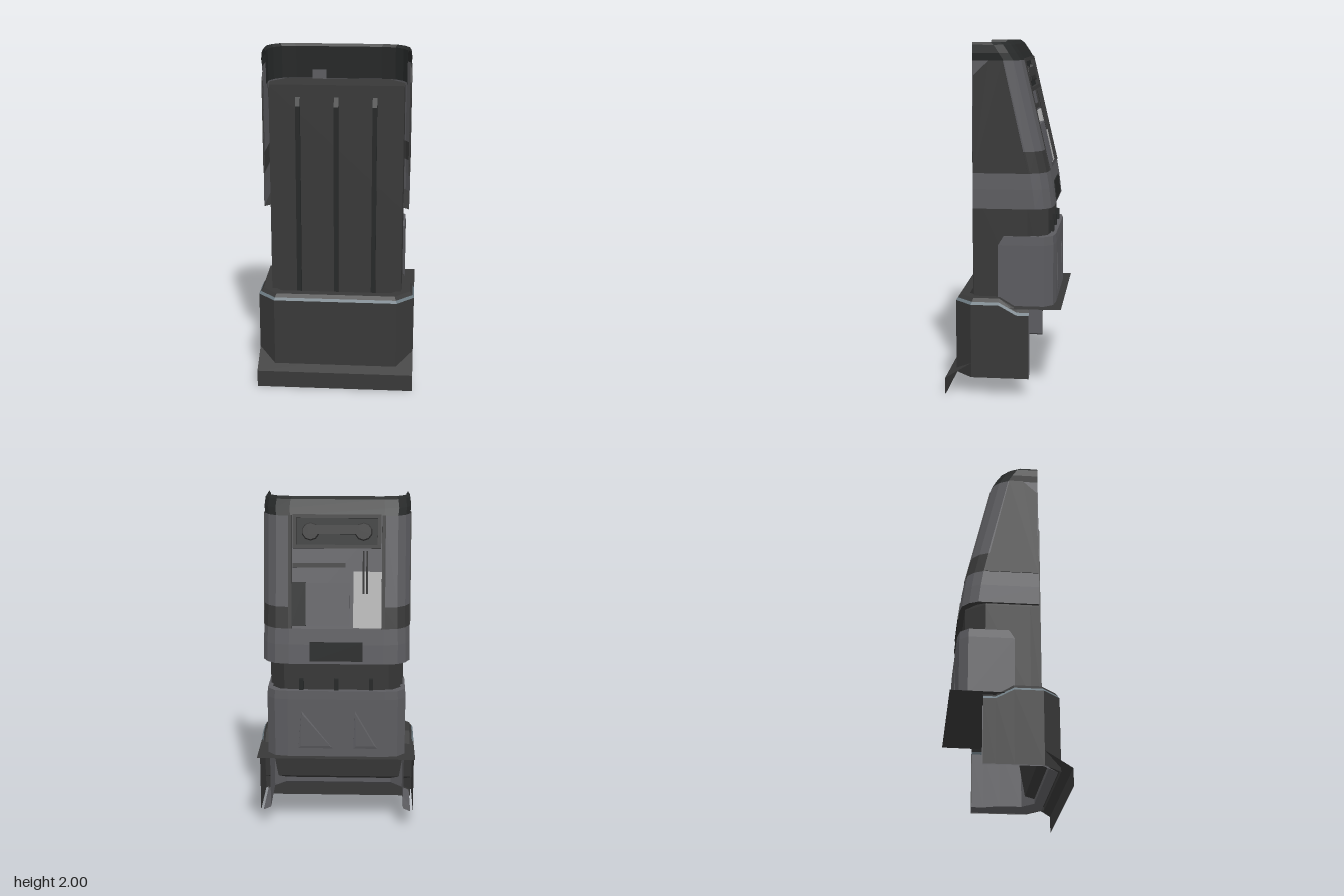
import * as THREE from 'three';

const mat = (color) => new THREE.MeshStandardMaterial({ color, side: THREE.DoubleSide, flatShading: true });
const DARK = mat(0x383838), BLACK = mat(0x262828), MID = mat(0x5c5c60), LIGHT = mat(0xb0b0b0), RIM = mat(0x6c7a82);

// Skin stretched over cross-sections, each a list of [x, y, z]
function loft(sections, closed = false, cap = false) {
  const n = sections[0].length, pos = sections.flat(2), idx = [];
  for (let s = 0; s < sections.length - 1; s++)
    for (let i = 0; i < (closed ? n : n - 1); i++) {
      const a = s * n + i, b = s * n + (i + 1) % n;
      idx.push(a, b, b + n, a, b + n, a + n);
    }
  const top = (sections.length - 1) * n;
  if (cap) for (let i = 1; i < n - 1; i++) idx.push(top, top + i, top + i + 1);
  const g = new THREE.BufferGeometry();
  g.setAttribute('position', new THREE.Float32BufferAttribute(pos, 3));
  g.setIndex(idx);
  const flat = g.toNonIndexed();
  flat.computeVertexNormals();
  return flat;
}

// Mirrors half an outline (+x side) into a whole one, running +x to -x
const both = (half) => [...half, ...half.map(([x, y, z]) => [-x, y, z]).reverse()];

// Half of the rounded U of the upper shell: side wall, corner, back
const corner = (y, w, zb) => [
  [w, y, 0.17], [w, y, zb + 0.1], [w - 0.025, y, zb + 0.05], [w - 0.07, y, zb + 0.012], [w - 0.15, y, zb],
];

export function createModel() {
  const model = new THREE.Group();
  const add = (name, geo, material, parent = model) => {
    const m = new THREE.Mesh(geo, material);
    m.name = name;
    parent.add(m);
    return m;
  };
  const box = (name, size, at, material, parent) => {
    const m = add(name, new THREE.BoxGeometry(...size), material, parent);
    m.position.set(...at);
    return m;
  };

  // Folded sheet: front flap, slope, steep riser and level back shelf
  const edge = (y, z) => [[-0.46, y, z], [0.46, y, z]];
  add('foldedSheet', loft([
    edge(0, 0.33), edge(0.1, 0.33), edge(0.2, 0.17), edge(0.4, 0.14), edge(0.515, 0.1), edge(0.52, -0.33),
  ]), DARK);

  // Base collar, open at the back, with its rim stepping down behind
  const ring = (d, yFront, yBack) => both([
    [0.46 - d, yBack, -0.15], [0.46 - d, yBack, -0.08], [0.46 - d, yFront, 0.02],
    [0.46 - d, yFront, 0.18 - d * 0.5], [0.36 - d * 0.5, yFront, 0.28 - d],
  ]);
  add('baseCollar', loft([ring(0, 0.11, 0.11), ring(0, 0.535, 0.48)]), DARK);
  add('collarRim', loft([ring(0, 0.535, 0.48), ring(0.01, 0.55, 0.495)]), RIM);
  add('collarTop', loft([ring(0.01, 0.55, 0.495), ring(0.025, 0.57, 0.51), ring(0.075, 0.57, 0.51)]), DARK);
  add('collarLining', loft([ring(0.06, 0.5, 0.46), ring(0.06, 0.14, 0.13), ring(0.015, 0.11, 0.11)]), MID);

  // Main body, thinner towards the top
  const body = (y, zb) => both([
    [0.3, y, zb], [0.385, y, zb + 0.11], [0.385, y, 0.12], [0.382, y, 0.175],
  ]);
  add('body', loft([body(0.525, -0.245), body(1.08, -0.245), body(1.8, -0.02)], true, true), DARK);

  // Front ribs with sloped tops, and lugs on the back
  const ribShape = new THREE.Shape(
    [[-0.16, 0.5], [-0.2, 0.5], [-0.2, 1.68], [-0.175, 1.73], [-0.16, 1.73]].map((p) => new THREE.Vector2(...p)));
  for (const i of [-1, 0, 1]) {
    const rib = add('frontRib', new THREE.ExtrudeGeometry(ribShape, { depth: 0.026, bevelEnabled: false }), BLACK);
    rib.rotation.y = Math.PI / 2;
    rib.position.x = i * 0.218 - 0.013;
    box('backLug', [0.025, 0.08, 0.03], [i * 0.2, 0.945, -0.255], BLACK);
  }

  // Faceted guard around the lower back
  const guard = (y, w, zf, zb) => both([[w, y, zf], [w, y, zb + 0.06], [w - 0.045, y, zb + 0.012], [w - 0.12, y, zb]]);
  add('backGuard', loft([
    guard(0.52, 0.4, 0.03, -0.29), guard(0.87, 0.4, 0.03, -0.29),
    guard(0.92, 0.397, 0, -0.287), guard(0.92, 0.37, 0, -0.255),
  ]), MID);
  for (const [x0, x1, tipX] of [[-0.24, -0.1, -0.11], [0.02, 0.22, 0.2]]) {
    const facet = (d, z) => [[x0 + d, 0.57 + d, z], [x1 - d, 0.57 + d, z], [tipX, 0.8 - d, z]];
    add('guardFacet', loft([facet(0, -0.29), facet(0.015, -0.294)], true, true), MID);
  }

  // Lower band of the shell
  add('shellBand', loft([
    both(corner(1.08, 0.42, -0.278)), both(corner(1.19, 0.42, -0.265)), both(corner(1.28, 0.417, -0.25)),
  ]), MID);
  add('shellUnderside', loft([both(corner(1.08, 0.42, -0.278)), both(corner(1.09, 0.385, -0.235))]), DARK);
  box('backTab', [0.3, 0.11, 0.02], [0, 1.15, -0.265], BLACK).rotation.x = 0.12;

  // Shell columns on each side, with a raised side plate
  for (const s of [1, -1]) {
    const side = (y, w, zb) => corner(y, w, zb).map(([x, h, z]) => [x * s, h, z]);
    add('lowerColumn', loft([side(1.28, 0.417, -0.25), side(1.4, 0.415, -0.223)]), DARK);
    add('upperColumn', loft([side(1.4, 0.415, -0.223), side(1.9, 0.415, -0.105)]), MID);
    const plate = (x) => [[x, 1.28, 0.165], [x, 1.28, -0.14], [x, 1.9, 0], [x, 1.9, 0.08], [x, 1.82, 0.165]]
      .map(([a, y, z]) => [a * s, y, z]);
    add('sidePlate', loft([plate(0.412), plate(0.422)], true, true), DARK);
  }

  // Top rim, turned in to form the inner wall
  add('topRim', loft([
    both(corner(1.9, 0.415, -0.105)), both(corner(1.94, 0.42, -0.08)), both(corner(1.985, 0.415, -0.05)),
    both(corner(2, 0.405, -0.03)), both(corner(1.985, 0.395, -0.02)), both(corner(1.8, 0.395, -0.03)),
  ]), BLACK);
  box('innerCatch', [0.08, 0.05, 0.02], [-0.11, 1.825, -0.015], MID);

  // Recessed back panel and its fittings, leaning with the shell
  const back = new THREE.Group();
  back.name = 'backPanel';
  back.position.set(0, 1.28, -0.25);
  back.rotation.x = 0.23;
  model.add(back);
  box('panelPlate', [0.56, 0.65, 0.02], [0, 0.32, 0.045], MID, back);
  for (const s of [1, -1]) box('panelEdge', [0.02, 0.64, 0.045], [s * 0.265, 0.32, 0.02], DARK, back);
  box('lightPlate', [0.17, 0.32, 0.02], [-0.18, 0.165, 0.025], LIGHT, back);
  box('squarePlate', [0.25, 0.24, 0.03], [0.05, 0.14, 0.02], MID, back);
  box('cornerPlate', [0.08, 0.25, 0.02], [0.215, 0.14, 0.03], BLACK, back);
  box('ledge', [0.3, 0.025, 0.03], [0.1, 0.36, 0.025], DARK, back);
  for (const x of [-0.172, -0.152]) {
    const rod = add('rod', new THREE.CylinderGeometry(0.006, 0.006, 0.24, 6), DARK, back);
    rod.position.set(x, 0.32, 0.008);
  }

  // Upper device: framed slot with two round fittings
  const device = new THREE.Group();
  device.name = 'upperDevice';
  device.position.set(0, 0.55, 0.015);
  back.add(device);
  box('deviceBed', [0.48, 0.17, 0.02], [0, 0, 0.015], BLACK, device);
  for (const y of [-0.085, 0.085]) box('deviceFrame', [0.5, 0.02, 0.035], [0, y, 0], DARK, device);
  for (const x of [-0.24, 0.24]) box('deviceFrame', [0.02, 0.17, 0.035], [x, 0, 0], DARK, device);
  box('deviceBar', [0.28, 0.05, 0.03], [0.02, 0.01, 0], DARK, device);
  for (const x of [-0.15, 0.15]) {
    const knob = add('roundFitting', new THREE.CylinderGeometry(0.045, 0.055, 0.03, 10), DARK, device);
    knob.rotation.x = -Math.PI / 2;
    knob.position.x = x;
  }
  return model;
}
